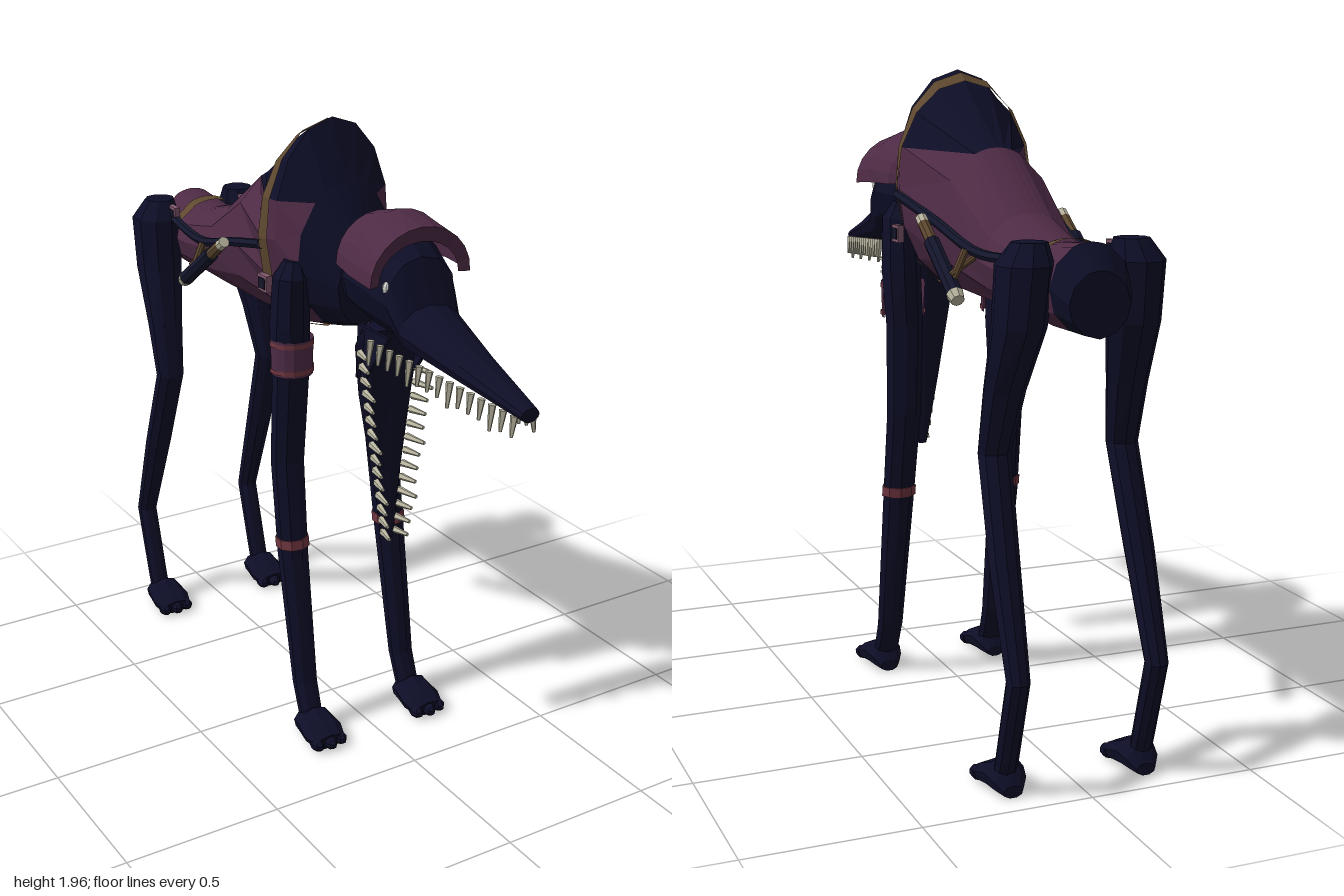
import * as THREE from 'three';

const mat = (name, color) => {
  const m = new THREE.MeshStandardMaterial({ color, flatShading: true, side: THREE.DoubleSide });
  m.name = name;
  return m;
};

const V = (x, y, z) => new THREE.Vector3(x, y, z);

// Skin a list of equal-length point rings; pick() sorts each quad into a material slot.
function loft(name, rings, mats, { closed = true, caps = true, pick = () => 0 } = {}) {
  const n = rings[0].length, slots = mats.map(() => []);
  for (let s = 0; s < rings.length - 1; s++)
    for (let k = 0; k < (closed ? n : n - 1); k++) {
      const j = (k + 1) % n, a = rings[s][k], b = rings[s][j], c = rings[s + 1][j], d = rings[s + 1][k];
      slots[pick(s, k)].push(a, b, c, a, c, d);
    }
  if (closed && caps) {
    for (const [ring, flip] of [[rings[0], true], [rings[rings.length - 1], false]]) {
      const mid = ring.reduce((p, q) => p.add(q), V(0, 0, 0)).divideScalar(n);
      for (let k = 0; k < n; k++) {
        const a = ring[k], b = ring[(k + 1) % n];
        slots[0].push(mid, flip ? b : a, flip ? a : b);
      }
    }
  }
  const geo = new THREE.BufferGeometry().setFromPoints(slots.flat());
  let start = 0;
  slots.forEach((pts, i) => { geo.addGroup(start, pts.length, i); start += pts.length; });
  geo.computeVertexNormals();
  const mesh = new THREE.Mesh(geo, mats);
  mesh.name = name;
  return mesh;
}

// Upright ring (front to back lofts) and level ring (top to bottom lofts)
const upright = (x, y, z, w, h, n = 12, from = 0, sweep = Math.PI * 2, open = false) =>
  Array.from({ length: n }, (_, i) => {
    const a = from + sweep * i / (open ? n - 1 : n);
    return V(x + w * Math.sin(a), y + h * Math.cos(a), z);
  });
const level = (x, y, z, rx, rz, n = 9) => Array.from({ length: n }, (_, i) => {
  const a = Math.PI * 2 * i / n;
  return V(x + rx * Math.cos(a), y, z + rz * Math.sin(a));
});

// Body stations: z, top, bottom, half width
const BODY = [
  [0.18, 1.60, 1.36, 0.09], [0.08, 1.78, 1.33, 0.17], [0, 1.96, 1.31, 0.20], [-0.06, 1.92, 1.30, 0.215],
  [-0.31, 1.74, 1.29, 0.18], [-0.55, 1.57, 1.29, 0.15], [-0.75, 1.51, 1.29, 0.13],
  [-0.85, 1.52, 1.28, 0.125], [-0.94, 1.53, 1.28, 0.12], [-1, 1.46, 1.28, 0.09]];

// Body ring at any z; the third row follows the lower edge of the dark hump
function bodyRing(z, grow = 0) {
  let i = 0;
  while (i < BODY.length - 2 && z < BODY[i + 1][0]) i++;
  const t = (BODY[i][0] - z) / (BODY[i][0] - BODY[i + 1][0]);
  const [top, bot, w] = [1, 2, 3].map(c => THREE.MathUtils.lerp(BODY[i][c], BODY[i + 1][c], t));
  const mid = (top + bot) / 2, h = (top - bot) / 2;
  const edge = z > -0.32 ? Math.max(0.4, Math.acos(Math.min(1, (1.73 - mid) / h))) : 0.45;
  const half = [];
  for (let k = 0; k <= 8; k++) {
    const a = k <= 3 ? edge * k / 3 : edge + (Math.PI - edge) * (k - 3) / 5;
    half.push(V((w + grow) * Math.sin(a), mid + (h + grow) * Math.cos(a), z));
  }
  const other = half.slice(1, 8).reverse().map(p => V(-p.x, p.y, p.z));
  return half.concat(other);
}

export function createModel() {
  const hide = mat('dark hide', 0x0e0e28), cloth = mat('plum cloth', 0x4e2b45);
  const leather = mat('brown leather', 0x5e4830), bone = mat('bone', 0xb9b5a0);
  const red = mat('red band', 0x703640), strapMat = mat('dark strap', 0x14162c);
  const frame = mat('buckle frame', 0x80586c), eyeWhite = mat('eye white', 0xd0d0cc);

  const model = new THREE.Group();
  model.name = 'creature';
  const add = (name, geo, material, x = 0, y = 0, z = 0, parent = model) => {
    const m = new THREE.Mesh(geo, material);
    m.name = name;
    m.position.set(x, y, z);
    parent.add(m);
    return m;
  };
  const rod = (name, a, b, ra, rb, material, parent = model, sides = 8) => {
    const d = b.clone().sub(a);
    const m = add(name, new THREE.CylinderGeometry(rb, ra, d.length(), sides), material, 0, 0, 0, parent);
    m.position.copy(a).add(b).multiplyScalar(0.5);
    m.quaternion.setFromUnitVectors(V(0, 1, 0), d.normalize());
    return m;
  };

  // Body with cloth cover and bare hump
  model.add(loft('body', BODY.map(s => bodyRing(s[0])), [hide, cloth], {
    pick: (s, k) => {
      const row = k < 8 ? k : 15 - k;
      if (s < 1 || s > 7) return 0;
      return s <= 3 && row < 3 ? 0 : 1;
    } }));
  model.add(loft('girthStrap', [bodyRing(-0.025, 0.008), bodyRing(-0.062, 0.008)], [leather], { caps: false }));
  const topRows = z => { const r = bodyRing(z, 0.01); return [...r.slice(12), ...r.slice(0, 5)]; };
  model.add(loft('rumpStrap', [topRows(-0.79), topRows(-0.83)], [leather], { closed: false }));

  // Head and snout, tip to neck: z, centre y, half width, half height
  model.add(loft('head', [
    [1, 1.355, 0.03, 0.02], [0.75, 1.405, 0.068, 0.045], [0.53, 1.455, 0.105, 0.072], [0.48, 1.53, 0.12, 0.125],
    [0.37, 1.565, 0.145, 0.15], [0.26, 1.56, 0.125, 0.135], [0.18, 1.53, 0.08, 0.1], [0.06, 1.52, 0.1, 0.12],
  ].map(([z, y, w, h]) => upright(0, y, z, w, h)), [hide]));

  // Cap with a turned-in front rim
  model.add(loft('cap', [
    [0.47, 1.59, 0.135, 0.105], [0.48, 1.59, 0.17, 0.15], [0.36, 1.6, 0.168, 0.165],
    [0.25, 1.6, 0.14, 0.135], [0.19, 1.6, 0.085, 0.075], [0.165, 1.6, 0.03, 0.03],
  ].map(([z, y, w, h]) => upright(0, y, z, w, h, 13, -1.6, 3.2, true)), [cloth], { closed: false }));

  // Hanging lower jaw
  model.add(loft('lowerJaw', [
    [1.41, 0.33, 0.1, 0.05], [1.36, 0.315, 0.115, 0.045], [1.2, 0.305, 0.095, 0.035],
    [0.95, 0.312, 0.055, 0.028], [0.72, 0.327, 0.018, 0.016],
  ].map(([y, z, rx, rz]) => level(0, y, z, rx, rz, 8)), [hide]));

  const teeth = new THREE.Group();
  teeth.name = 'teeth';
  model.add(teeth);
  for (const s of [-1, 1]) {
    // Eyes
    const eye = add('eye', new THREE.SphereGeometry(0.024, 10, 8), eyeWhite, s * 0.095, 1.575, 0.465);
    eye.scale.z = 0.7;
    add('pupil', new THREE.SphereGeometry(0.011, 8, 6), hide, s * 0.095, 1.575, 0.478);
    // Cheek between the jaws
    const cheek = new THREE.Shape([[-0.46, 1.42], [-0.3, 1.42], [-0.29, 1.25], [-0.33, 1.25]]
      .map(p => new THREE.Vector2(...p)));
    add('cheek', new THREE.ExtrudeGeometry(cheek, { depth: 0.012, bevelEnabled: false }), hide, s * 0.09 - 0.006)
      .rotation.y = Math.PI / 2;
    // Upper teeth
    for (let i = 0; i < 15; i++) {
      const t = i / 14, z = 0.97 - 0.57 * t, x = s * (0.03 + 0.085 * t), y = 1.35 + 0.052 * t;
      const len = i % 4 === 2 ? 0.075 : 0.06;
      rod('upperTooth', V(x, y, z), V(x + s * 0.008, y - len, z), 0.012, 0.005, bone, teeth, 5);
    }
    // Lower teeth
    for (let i = 0; i < 15; i++) {
      const t = i / 14, y = 0.74 + 0.6 * t, x = s * (0.018 + 0.088 * t);
      const len = i % 4 === 3 ? 0.075 : 0.06;
      rod('lowerTooth', V(x, y, 0.328), V(x + s * 0.015, y, 0.328 + len), 0.012, 0.006, bone, teeth, 5);
    }

    // Legs: x, y, z, half width, half depth
    const front = [[0.165, 1.56, 0.05, 0.03, 0.03], [0.175, 1.51, 0.05, 0.055, 0.06], [0.175, 1.35, 0.04, 0.062, 0.065],
      [0.167, 1.18, 0.03, 0.06, 0.05], [0.175, 0.9, 0.02, 0.055, 0.045], [0.182, 0.6, 0.06, 0.05, 0.045],
      [0.185, 0.17, 0.135, 0.042, 0.032], [0.187, 0.05, 0.18, 0.04, 0.03]];
    const hind = [[0.15, 1.53, -0.88, 0.05, 0.05], [0.165, 1.47, -0.88, 0.08, 0.09], [0.17, 1.3, -0.86, 0.075, 0.085],
      [0.185, 1.12, -0.8, 0.06, 0.058], [0.195, 0.94, -0.755, 0.048, 0.042], [0.205, 0.66, -0.85, 0.045, 0.042],
      [0.21, 0.35, -0.962, 0.034, 0.034], [0.21, 0.1, -0.89, 0.034, 0.03], [0.21, 0.04, -0.87, 0.034, 0.03]];
    for (const [name, path, fx, fz] of [['front', front, 0.19, 0], ['hind', hind, 0.205, -1.055]]) {
      model.add(loft(name + 'Leg', path.map(([x, y, z, a, b]) => level(s * x, y, z, a, b)), [hide]));
      model.add(loft(name + 'Foot', [[0.3, 0.025, 0.055, 0.022], [0.25, 0.038, 0.07, 0.036], [0.2, 0.05, 0.062, 0.048],
        [0.155, 0.04, 0.05, 0.038], [0.13, 0.02, 0.03, 0.018]]
        .map(([z, y, w, h]) => upright(s * fx, y, fz + z, w, h, 9)), [hide]));
      for (const i of [-1, 0, 1]) {
        const toe = add(name + 'Toe', new THREE.SphereGeometry(0.024, 7, 5), hide,
          s * fx + i * 0.042, 0.022, fz + 0.297 - Math.abs(i) * 0.01);
        toe.scale.set(0.9, 0.85, 1.4);
      }
    }
    // Leg band and upper cuff
    model.add(loft('legBand', [level(s * 0.181, 0.653, 0.053, 0.055, 0.05), level(s * 0.181, 0.622, 0.058, 0.055, 0.05)], [red]));
    const cuff = (y, rx) => Array.from({ length: 9 }, (_, i) => {
      const a = -0.1 + (Math.PI + 0.2) * i / 8;
      return V(s * 0.168 + rx * Math.cos(a), y, 0.036 + 0.07 * Math.sin(a));
    });
    model.add(loft('cuff', [cuff(1.315, 0.069), cuff(1.2, 0.066)], [cloth], { closed: false }));
    for (const y of [1.3, 1.215])
      model.add(loft('cuffTrim', [cuff(y + 0.007, 0.071), cuff(y - 0.007, 0.071)], [red], { closed: false }));

    // Side strap, buckles and slung canister
    const path = new THREE.CatmullRomCurve3([V(s * 0.218, 1.59, -0.05), V(s * 0.19, 1.53, -0.3),
      V(s * 0.162, 1.465, -0.55), V(s * 0.135, 1.475, -0.8), V(s * 0.13, 1.5, -0.9)]);
    add('sideStrap', new THREE.TubeGeometry(path, 16, 0.015, 6), strapMat);
    for (const [x, y, z] of [[0.212, 1.47, -0.042], [0.134, 1.49, -0.805]]) {
      add('buckleFrame', new THREE.BoxGeometry(0.02, 0.052, 0.052), frame, s * x, y, z);
      add('buckleCentre', new THREE.BoxGeometry(0.026, 0.034, 0.034), strapMat, s * x, y, z);
    }
    const from = V(s * 0.225, 1.54, -0.275), to = V(s * 0.225, 1.335, -0.565);
    const at = t => from.clone().lerp(to, t);
    rod('canisterTip', at(0), at(0.08), 0.018, 0.018, bone);
    rod('canisterNeck', at(0.08), at(0.32), 0.018, 0.018, leather);
    rod('canister', at(0.3), at(0.93), 0.024, 0.024, strapMat);
    rod('canisterEnd', at(0.92), at(1), 0.026, 0.02, bone);
    rod('canisterHanger', V(s * 0.15, 1.45, -0.51), V(s * 0.225, 1.4, -0.51), 0.01, 0.01, leather);
    rod('canisterLoop', V(s * 0.18, 1.47, -0.51), V(s * 0.225, 1.37, -0.51), 0.012, 0.012, leather);
  }
  return model;
}
